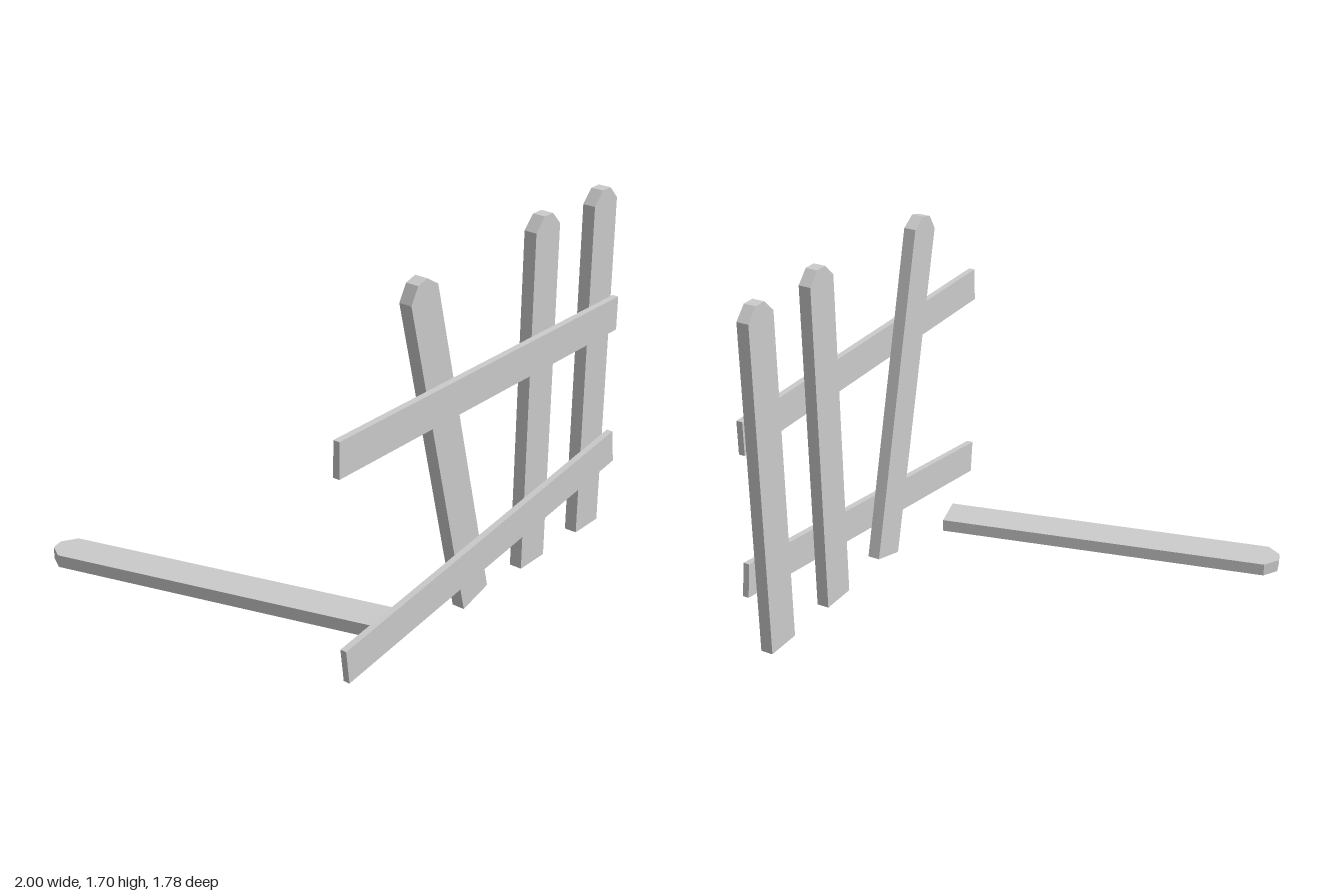
import * as THREE from 'three';

const material = new THREE.MeshStandardMaterial({ color: 0xcccccc, flatShading: true });

// Board with a clipped top, standing on its own origin
function picketGeometry(width = 0.176, height = 1.66, thickness = 0.06) {
  const w = width / 2, tip = 0.03, shoulder = height - 0.06;
  const shape = new THREE.Shape([
    [-w, 0], [w, 0], [w, shoulder], [tip, height], [-tip, height], [-w, shoulder],
  ].map(([x, y]) => new THREE.Vector2(x, y)));
  return new THREE.ExtrudeGeometry(shape, { depth: thickness, bevelEnabled: false })
    .translate(0, 0, -thickness / 2);
}

export function createModel() {
  const fence = new THREE.Group();
  fence.name = 'brokenFence';

  const add = (name, geometry, position, rotation = [0, 0, 0]) => {
    const mesh = new THREE.Mesh(geometry, material);
    mesh.name = name;
    mesh.position.set(...position);
    mesh.rotation.set(...rotation, 'YXZ');
    fence.add(mesh);
  };

  // Pickets: two upright, one leaning, one fallen behind the fence
  const picket = picketGeometry();
  const lean = THREE.MathUtils.degToRad(15);
  add('leftPicket', picket, [0.859, 0.04, 0.82]);
  add('middlePicket', picket, [0.414, 0.04, 0.82]);
  add('leaningPicket', picket, [-0.02, 0.05, 0.82], [0, 0, lean]);
  add('fallenPicket', picket, [-0.462, 0.066, 0.718], [-Math.PI / 2 - 0.021, lean, 0]);

  // Rails across the front, the lower one slipped at one end
  const rail = new THREE.BoxGeometry(1.948, 0.16, 0.03);
  add('upperRail', rail, [-0.026, 1.1, 0.874]);
  add('lowerRail', rail, [0.021, 0.287, 0.874], [0, 0, 0.138]);

  return fence;
}
